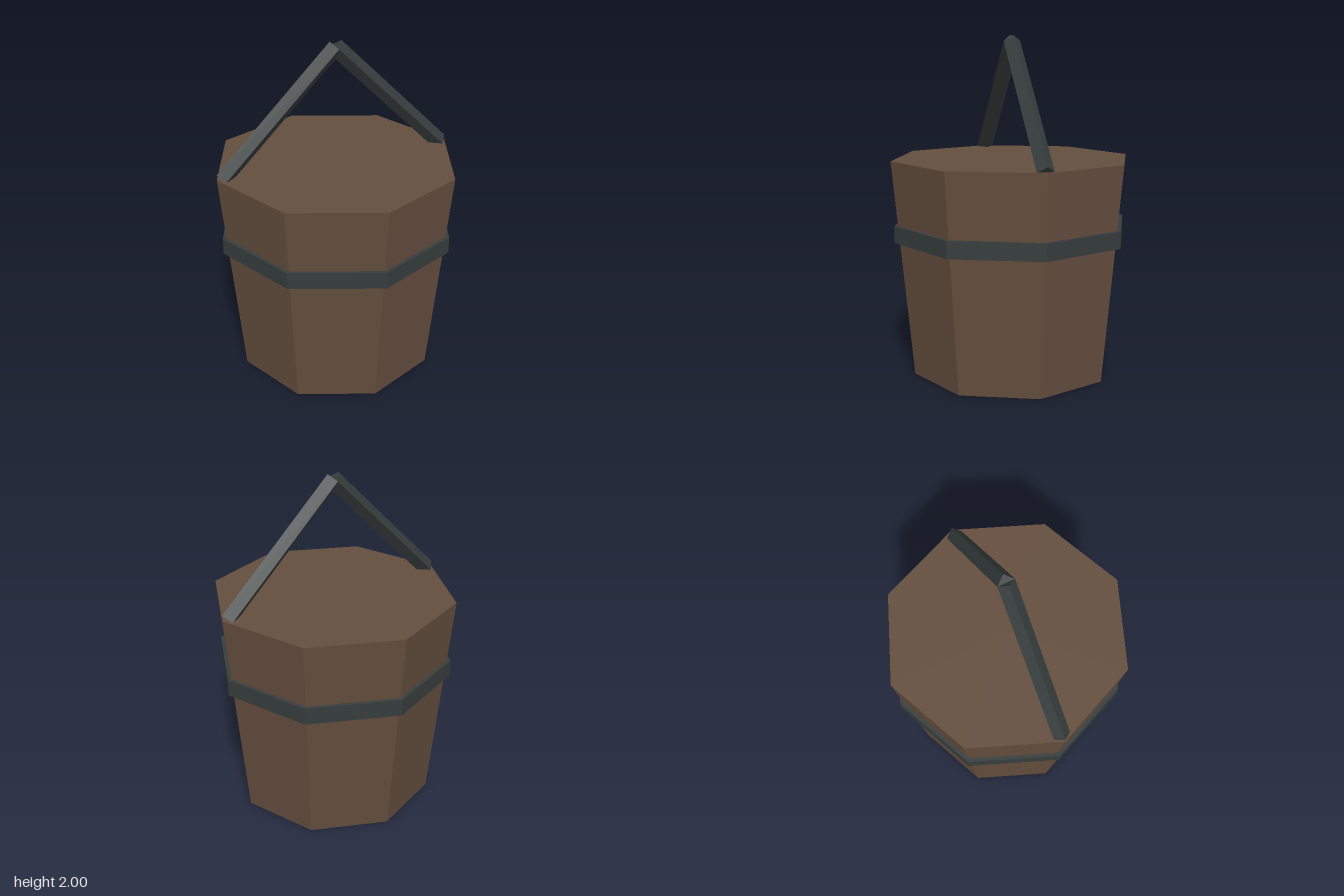
import * as THREE from 'three';

const SIDES = 8;
const HEIGHT = 1.283;
const TOP_RADIUS = 0.722;
const BOTTOM_RADIUS = 0.6;
const APEX_Y = 1.965;
const BAR_RADIUS = 0.05;

export function createModel() {
  const group = new THREE.Group();
  group.name = 'bucket';
  const wood = new THREE.MeshStandardMaterial({ color: 0x644e3e, flatShading: true });
  const iron = new THREE.MeshStandardMaterial({ color: 0x363d3c, flatShading: true });

  const add = (name, geometry, material) => {
    const mesh = new THREE.Mesh(geometry, material);
    mesh.name = name;
    group.add(mesh);
    return mesh;
  };

  // Tapered octagonal body, closed at top and bottom
  add('body', new THREE.CylinderGeometry(TOP_RADIUS, BOTTOM_RADIUS, HEIGHT, SIDES), wood)
    .position.y = HEIGHT / 2;

  // Straight-sided iron hoop
  add('hoop', new THREE.CylinderGeometry(0.708, 0.708, 0.1, SIDES), iron)
    .position.y = 0.855;

  // Peaked handle: two diamond-section bars from the rim to the apex
  const apex = new THREE.Vector3(0, APEX_Y, 0);
  for (const side of [1, -1]) {
    const foot = new THREE.Vector3(side * 0.685, 1.28, 0);
    const length = foot.distanceTo(apex);
    const bar = add(side > 0 ? 'handleLeft' : 'handleRight',
      new THREE.CylinderGeometry(BAR_RADIUS, BAR_RADIUS, length, 4), iron);
    bar.position.copy(foot).add(apex).multiplyScalar(0.5);
    bar.rotation.z = side * Math.PI / 4;
  }
  return group;
}
